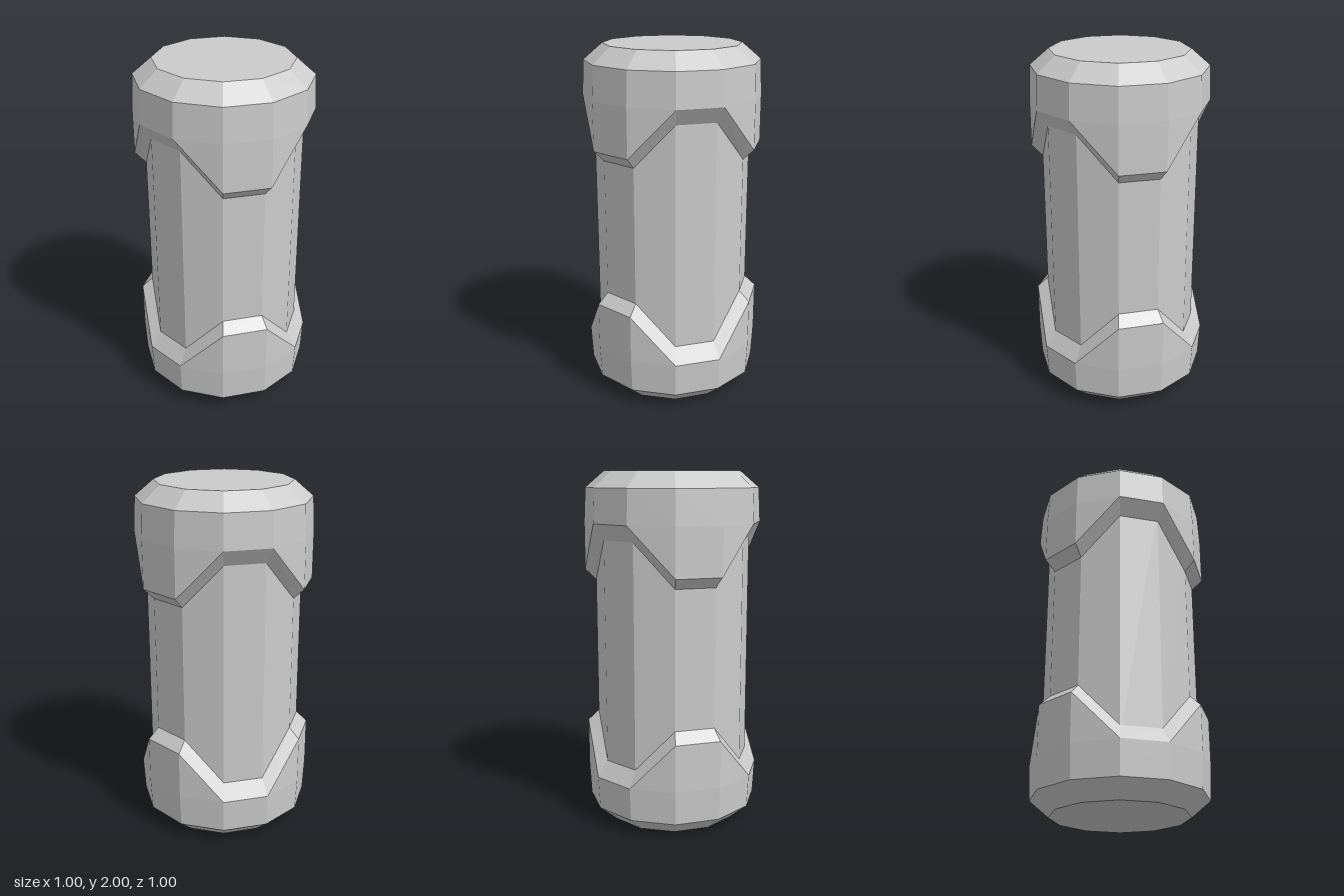
import * as THREE from 'three';

const SIDES = 12;
const material = new THREE.MeshStandardMaterial({ color: 0xcccccc, flatShading: true, side: THREE.DoubleSide });

// The collar edge alternates: two corners reach low, the next two stay high.
const isLow = (k) => k % 4 < 2;

// Rings of the upper collar, from the flat end to the shaft: radius, y at low corners, y at high corners.
const COLLAR = [
  [0, 2, 2],
  [0.385, 2, 2],
  [0.49, 1.91, 1.91],
  [0.5, 1.72, 1.72],
  [0.5, 1.45, 1.72],
  [0.438, 1.39, 1.63],
];

// Skin consecutive rings with flat faces; mirrored collars sit at the bottom.
function collarGeometry(mirrored) {
  const corner = ([r, low, high], k) => {
    const i = k % SIDES;
    const a = (i / SIDES) * Math.PI * 2;
    const y = isLow(i) ? low : high;
    return new THREE.Vector3(Math.sin(a) * r, mirrored ? 2 - y : y, Math.cos(a) * r);
  };
  const points = [];
  const addTriangle = (a, b, c) => {
    const area = b.clone().sub(a).cross(c.clone().sub(a)).length();
    if (area < 1e-7) return;
    points.push(...(mirrored ? [a, c, b] : [a, b, c]));
  };
  for (let row = 0; row < COLLAR.length - 1; row++) {
    for (let k = 0; k < SIDES; k++) {
      const a = corner(COLLAR[row], k);
      const b = corner(COLLAR[row + 1], k);
      const c = corner(COLLAR[row + 1], k + 1);
      const d = corner(COLLAR[row], k + 1);
      addTriangle(a, b, c);
      addTriangle(a, c, d);
    }
  }
  const geometry = new THREE.BufferGeometry().setFromPoints(points);
  geometry.computeVertexNormals();
  return geometry;
}

export function createModel() {
  const group = new THREE.Group();
  const add = (name, geometry) => {
    const mesh = new THREE.Mesh(geometry, material);
    mesh.name = name;
    group.add(mesh);
    return mesh;
  };

  // Twelve-sided shaft running between the collars
  add('shaft', new THREE.CylinderGeometry(0.438, 0.438, 1.4, SIDES)).position.y = 1;

  // Faceted end collars with stepped, bevelled edges
  add('topCollar', collarGeometry(false));
  add('bottomCollar', collarGeometry(true));

  return group;
}
